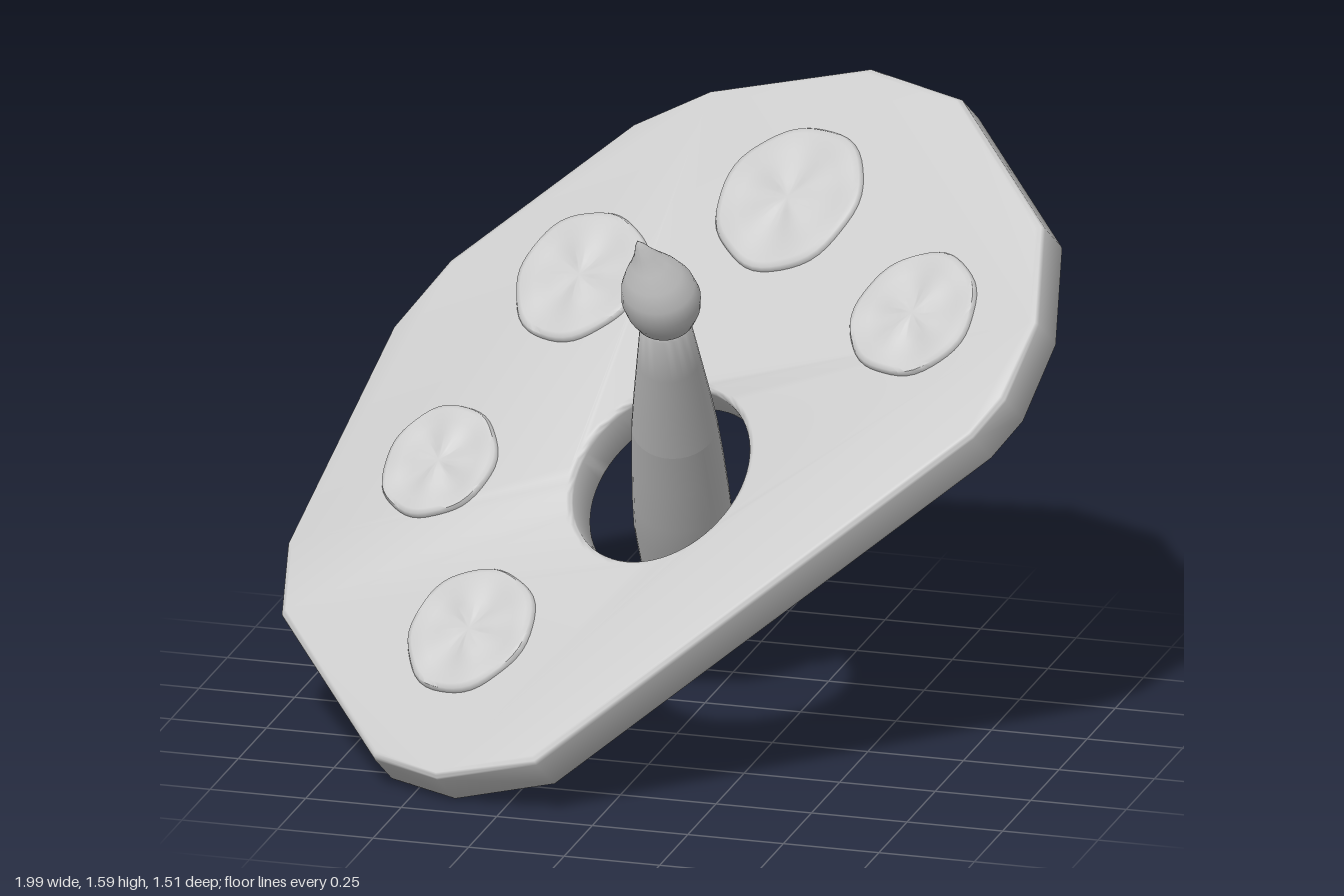
import * as THREE from 'three';
import { toCreasedNormals } from 'three/addons/utils/BufferGeometryUtils.js';

const material = new THREE.MeshStandardMaterial({ color: 0xcccccc });
const vec2 = (list) => list.map(([x, y]) => new THREE.Vector2(x, y));

// Tilted palette plane: y = 0.914 + 0.4x - 0.9z, with local axes U, V and normal N
const origin = new THREE.Vector3(0, 0.914, 0);
const N = new THREE.Vector3(-0.4, 1, 0.9).normalize();
const U = new THREE.Vector3(1, 0.4, 0).normalize();
const V = N.clone().cross(U);

// Plan position (x, z) to a point in the palette plane
function onPlane(x, z) {
  const p = new THREE.Vector3(x, 0.4 * x - 0.9 * z, z);
  return new THREE.Vector2(p.dot(U), p.dot(V));
}

function mesh(name, geometry) {
  const m = new THREE.Mesh(geometry, material);
  m.name = name;
  return m;
}

// Board with a faceted outline, rounded rim and thumb hole
function createBoard() {
  const outline = [
    [-1, 0.07], [-0.97, 0.23], [-0.61, 0.63], [-0.42, 0.72], [-0.15, 0.755],
    [0.86, 0.3], [0.925, 0.235], [0.965, 0.08], [0.917, -0.14], [0.596, -0.497],
    [0.32, -0.631], [-0.115, -0.691], [-0.31, -0.667], [-0.735, -0.478], [-0.85, -0.362],
  ].map(([x, z]) => onPlane(x, z));
  const shape = new THREE.Shape(outline);
  const c = onPlane(0.005, 0.17);
  const hole = new THREE.Path();
  hole.absarc(c.x, c.y, 0.25, 0, Math.PI * 2, true);
  shape.holes.push(hole);
  const bevel = 0.018;
  const geometry = new THREE.ExtrudeGeometry(shape, {
    depth: 0.125 - 2 * bevel, curveSegments: 32,
    bevelSize: bevel, bevelThickness: bevel, bevelOffset: -bevel, bevelSegments: 4,
  });
  geometry.translate(0, 0, -0.12 + bevel);
  return mesh('paletteBoard', toCreasedNormals(geometry, 0.9));
}

// Low, wavy-edged dab of paint
function createDab(x, z, r, seed) {
  const profile = vec2([
    [r, -0.02], [r, 0.008], [0.97 * r, 0.018], [0.9 * r, 0.021],
    [0.7 * r, 0.016], [0.45 * r, 0.017], [0.2 * r, 0.018], [0, 0.018],
  ]);
  const geometry = new THREE.LatheGeometry(profile, 48);
  const pos = geometry.attributes.position;
  for (let i = 0; i < pos.count; i++) {
    const px = pos.getX(i), py = pos.getY(i), pz = pos.getZ(i);
    const a = Math.atan2(pz, px), k = Math.hypot(px, pz) / r;
    const wave = 1 + 0.018 * Math.sin(3 * a + seed) + 0.012 * Math.sin(7 * a + 2 * seed);
    const bump = py > 0.01 ? 0.005 * k * (1 - k) * 4 * Math.sin(4 * a + seed) : 0;
    pos.setXYZ(i, px * wave, py + bump, pz * wave);
  }
  geometry.rotateX(Math.PI / 2);
  geometry.computeVertexNormals();
  const dab = mesh('paintDab', toCreasedNormals(geometry, 0.9));
  const p = onPlane(x, z);
  dab.position.set(p.x, p.y, 0);
  return dab;
}

// Brush along local y, with y = 0 where the bristles meet the ferrule
function createBrush() {
  const brush = new THREE.Group();
  brush.name = 'brush';
  const lathe = (points) => new THREE.LatheGeometry(vec2(points), 32);

  brush.add(mesh('handle', toCreasedNormals(lathe([
    [0, -1.2], [0.082, -1.204], [0.094, -1.19], [0.112, -1.0], [0.125, -0.8],
    [0.123, -0.7], [0.117, -0.56], [0.109, -0.42],
  ]), 0.7)));
  brush.add(mesh('ferrule', toCreasedNormals(lathe([
    [0.109, -0.42], [0.097, -0.3], [0.08, -0.15], [0.064, -0.01], [0.058, 0], [0, 0],
  ]), 0.7)));

  // Bristles swell, then curl to a point
  const bristles = lathe([
    [0, -0.005], [0.05, -0.005], [0.078, 0.02], [0.093, 0.055], [0.1, 0.095], [0.092, 0.14],
    [0.071, 0.185], [0.046, 0.225], [0.026, 0.26], [0.013, 0.29], [0, 0.31],
  ]);
  const pos = bristles.attributes.position;
  for (let i = 0; i < pos.count; i++) {
    pos.setX(i, pos.getX(i) - 0.055 * Math.max(0, pos.getY(i) / 0.31) ** 2);
  }
  bristles.computeVertexNormals();
  brush.add(mesh('bristles', toCreasedNormals(bristles, 0.9)));

  const top = new THREE.Vector3(0.045, 1.2, 0.255);
  const end = new THREE.Vector3(-0.075, 0.19, -0.39);
  brush.position.copy(top);
  brush.quaternion.setFromUnitVectors(new THREE.Vector3(0, 1, 0), top.clone().sub(end).normalize());
  return brush;
}

export function createModel() {
  const model = new THREE.Group();
  model.name = 'paletteAndBrush';

  const palette = new THREE.Group();
  palette.name = 'palette';
  palette.add(createBoard());
  [
    [-0.348, -0.342, 0.187], [0.187, -0.377, 0.208], [0.618, -0.02, 0.178],
    [-0.618, -0.008, 0.162], [-0.417, 0.406, 0.179],
  ].forEach(([x, z, r], i) => palette.add(createDab(x, z, r, 1 + i * 1.7)));
  palette.quaternion.setFromRotationMatrix(new THREE.Matrix4().makeBasis(U, V, N));
  palette.position.copy(origin);

  model.add(palette, createBrush());
  return model;
}
